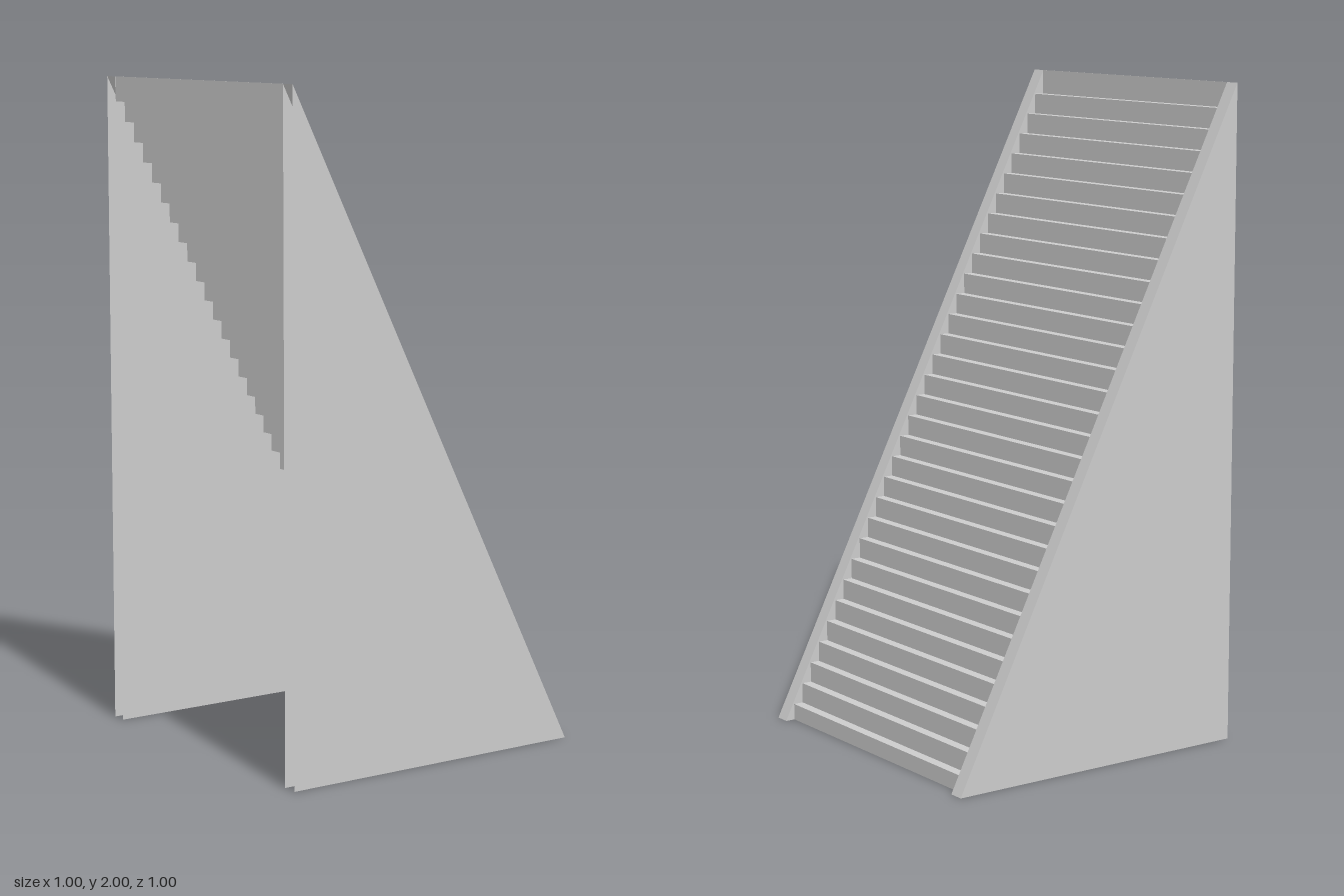
import * as THREE from 'three';

const material = new THREE.MeshStandardMaterial({ color: 0xcccccc, flatShading: true, side: THREE.DoubleSide });
const HALF = 0.5, HEIGHT = 2, INNER = 0.453, STEPS = 32;

// Thin sheet: sweeps a [z, y] profile across x from x0 to x1
function sheet(name, profile, x0, x1) {
  const positions = [];
  for (let i = 0; i < profile.length - 1; i++) {
    const [za, ya] = profile[i], [zb, yb] = profile[i + 1];
    positions.push(x0, ya, za, x0, yb, zb, x1, yb, zb);
    positions.push(x0, ya, za, x1, yb, zb, x1, ya, za);
  }
  const geometry = new THREE.BufferGeometry();
  geometry.setAttribute('position', new THREE.Float32BufferAttribute(positions, 3));
  geometry.computeVertexNormals();
  const mesh = new THREE.Mesh(geometry, material);
  mesh.name = name;
  return mesh;
}

// Triangular side sheet standing at a given x, upright edge at the front
function triangle(name, x) {
  const shape = new THREE.Shape([
    new THREE.Vector2(-HALF, 0),
    new THREE.Vector2(HALF, 0),
    new THREE.Vector2(-HALF, HEIGHT),
  ]);
  const mesh = new THREE.Mesh(new THREE.ShapeGeometry(shape), material);
  mesh.rotation.y = Math.PI / 2; // shape x becomes -z
  mesh.position.x = x;
  mesh.name = name;
  return mesh;
}

export function createModel() {
  const model = new THREE.Group();
  model.name = 'staircase';

  // Zigzag of risers and treads, climbing from back to front
  const rise = HEIGHT / STEPS, run = 2 * HALF / STEPS, start = -0.47;
  const profile = [[start, 0]];
  for (let i = 0; i < STEPS; i++) {
    const y = i === STEPS - 1 ? HEIGHT : 0.05 + i * rise;
    profile.push([start + i * run, y]);
    profile.push([Math.min(HALF, start + (i + 1) * run), y]);
  }
  model.add(sheet('steps', profile, -INNER, INNER));

  // Hollow side walls, open at the front and below
  for (const [side, s] of [['left', 1], ['right', -1]]) {
    const wall = new THREE.Group();
    wall.name = side + 'Wall';
    wall.add(triangle(side + 'OuterSheet', s * HALF));
    wall.add(triangle(side + 'InnerSheet', s * INNER));
    wall.add(sheet(side + 'SlopedCap', [[-HALF, 0], [HALF, HEIGHT]], s * INNER, s * HALF));
    model.add(wall);
  }
  return model;
}
